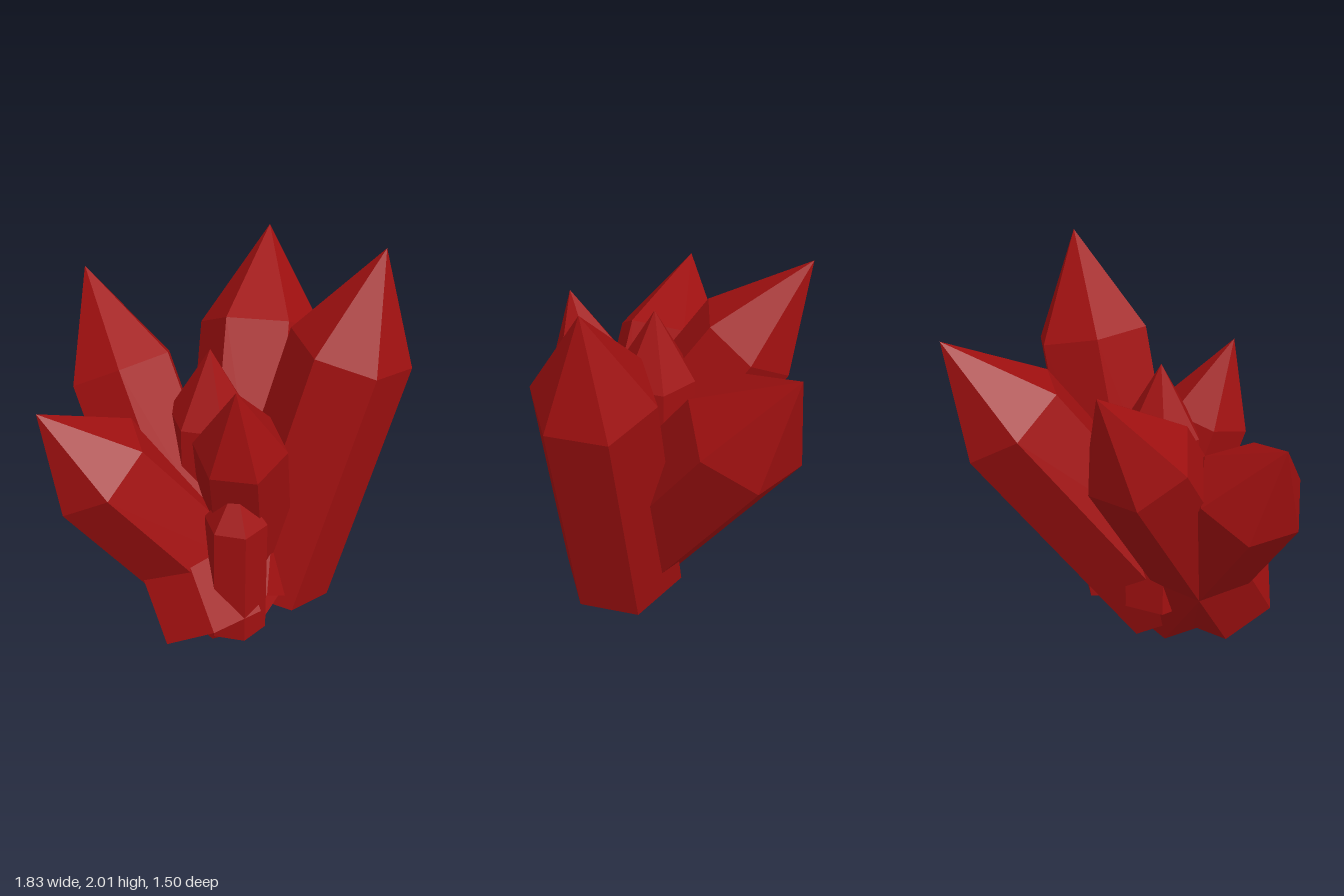
import * as THREE from 'three';

const crystalRed = new THREE.MeshStandardMaterial({ color: 0xa01010, flatShading: true });
crystalRed.name = 'crystal red';

// name, shoulder centre, tip, radius, shaft length below the shoulder
const CRYSTALS = [
  ['tallLeftCrystal', [0.66, 1.48, 0.2], [0.815, 2.0, 0.195], 0.31, 1.37],
  ['backLeftCrystal', [0.425, 1.265, -0.465], [0.56, 1.69, -0.76], 0.318, 1.38],
  ['backRightCrystal', [-0.38, 1.28, -0.25], [-0.48, 1.72, -0.55], 0.285, 1.36],
  ['rightCrystal', [-0.635, 1.065, 0.24], [-0.91, 1.41, 0.22], 0.29, 1.17],
  ['frontCrystal', [0.013, 1.19, 0.457], [-0.05, 1.59, 0.58], 0.23, 1.08],
  ['centreCrystal', [-0.035, 1.19, 0.135], [-0.038, 1.56, 0.135], 0.21, 0.95],
  ['smallFrontCrystal', [-0.025, 0.815, 0.525], [-0.025, 1.04, 0.525], 0.155, 0.64],
];

// Six-sided shaft with a flat base and a pointed tip
function crystal([name, shoulder, tip, radius, length]) {
  const top = new THREE.Vector3(...shoulder);
  const axis = new THREE.Vector3(...tip).sub(top);
  const point = axis.length();
  axis.normalize();

  const profile = [[0, -length], [radius, -length], [radius, 0], [0, point]]
    .map(([x, y]) => new THREE.Vector2(x, y));
  const mesh = new THREE.Mesh(new THREE.LatheGeometry(profile, 6), crystalRed);

  // Lean along the axis, keeping one pair of ridges level with each other
  const level = Math.hypot(axis.x, axis.z) < 0.02
    ? new THREE.Vector3(0, 0, 1)
    : new THREE.Vector3(-axis.z, 0, axis.x).normalize();
  const side = new THREE.Vector3().crossVectors(axis, level).normalize();
  level.crossVectors(side, axis);
  mesh.quaternion.setFromRotationMatrix(new THREE.Matrix4().makeBasis(side, axis, level));
  mesh.position.copy(top);
  mesh.name = name;
  return mesh;
}

export function createModel() {
  const group = new THREE.Group();
  group.name = 'crystalCluster';
  for (const spec of CRYSTALS) group.add(crystal(spec));
  return group;
}
